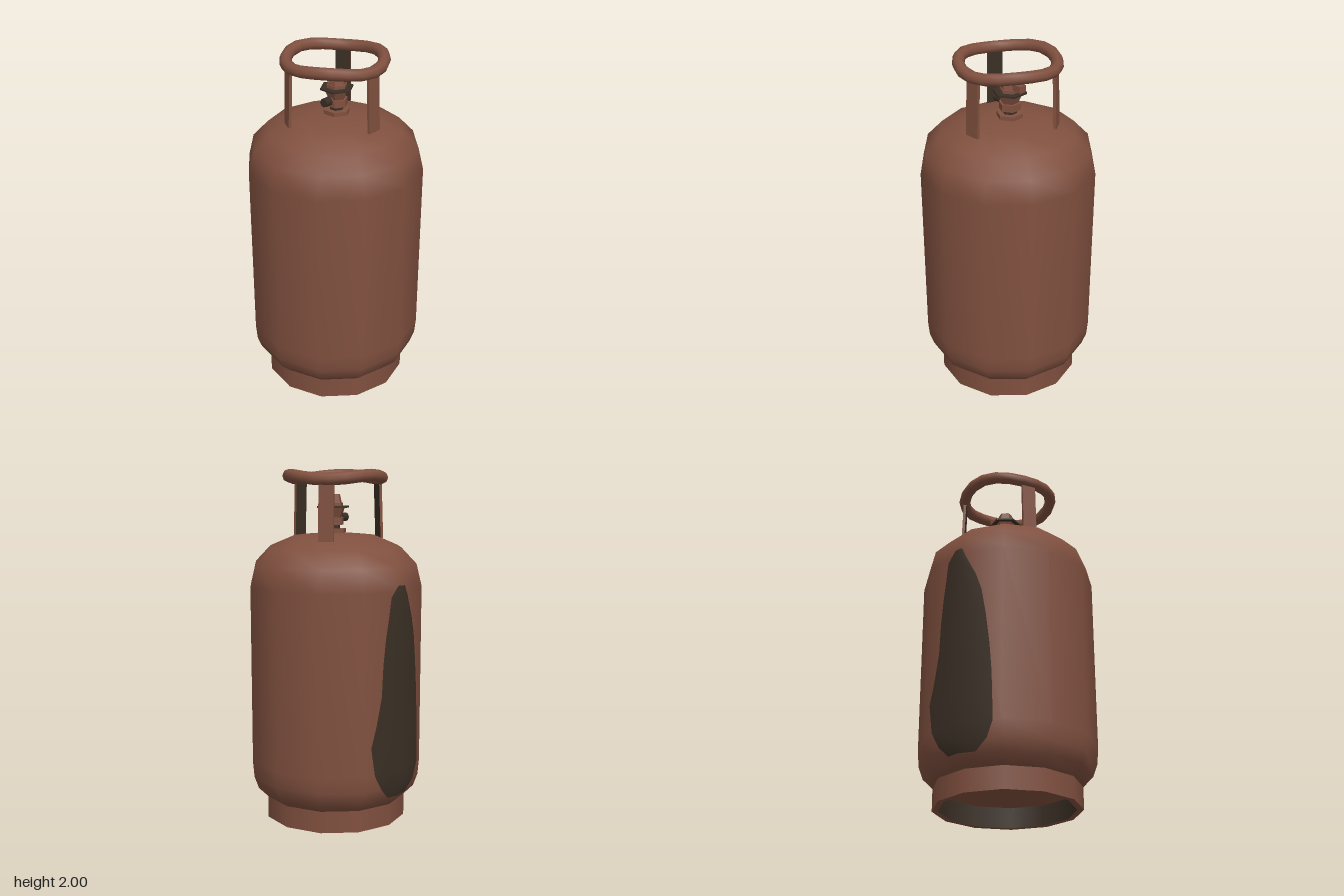
import * as THREE from 'three';

const SIDES = 12;
// Tank outline, bottom centre to top centre: [radius, height]
const TANK = [[0, 0.08], [0.3, 0.1], [0.41, 0.125], [0.465, 0.18], [0.49, 0.25], [0.498, 0.34],
  [0.498, 1.35], [0.468, 1.475], [0.38, 1.567], [0.235, 1.628], [0.1, 1.64], [0, 1.642]];

function material(name, color) {
  const m = new THREE.MeshStandardMaterial({ color });
  m.name = name;
  return m;
}

function lathe(points, sides = SIDES) {
  return new THREE.LatheGeometry(points.map(([r, y]) => new THREE.Vector2(r, y)), sides);
}

function tankRadius(y) {
  for (let i = 3; i < TANK.length; i++) {
    const [r0, y0] = TANK[i - 1], [r1, y1] = TANK[i];
    if (y <= y1) return r0 + (r1 - r0) * (y - y0) / (y1 - y0);
  }
  return 0;
}

// Bare patch lying on the facets of the tank; rows are [height, start angle, end angle]
function patchGeometry() {
  const rows = [[0.19, -9, 12], [0.25, -16, 20], [0.34, -22, 24], [0.5, -25, 23.5], [0.62, -21, 23],
    [0.78, -17, 21.5], [0.95, -16, 19], [1.1, -14, 16], [1.2, -12, 12], [1.32, -10, 5], [1.38, -4, 2]];
  const pos = [], index = [];
  rows.forEach(([y, a, b], i) => {
    for (const deg of [a, 0, b]) {
      const t = THREE.MathUtils.degToRad(deg), half = Math.PI / SIDES;
      const r = tankRadius(y) * Math.cos(half) / Math.cos(Math.abs(t) - half) + 0.004;
      pos.push(-r * Math.cos(t), y, r * Math.sin(t));
    }
    if (i === 0) return;
    for (let j = 0; j < 2; j++) {
      const p = (i - 1) * 3 + j, q = i * 3 + j;
      index.push(p, p + 1, q, p + 1, q + 1, q);
    }
  });
  const g = new THREE.BufferGeometry();
  g.setAttribute('position', new THREE.Float32BufferAttribute(pos, 3));
  g.setIndex(index);
  g.computeVertexNormals();
  return g;
}

export function createModel() {
  const group = new THREE.Group();
  group.name = 'gasCylinder';
  const paint = material('rust brown paint', 0x80503f);
  const dark = material('dark grime', 0x3a2f25);
  dark.side = THREE.DoubleSide;

  function add(name, geometry, mat, x = 0, y = 0, z = 0, parent = group) {
    const mesh = new THREE.Mesh(geometry, mat);
    mesh.name = name;
    mesh.position.set(x, y, z);
    parent.add(mesh);
    return mesh;
  }

  // Tank and worn patch
  add('tank', lathe(TANK), paint);
  add('wornPatch', patchGeometry(), dark);

  // Foot ring
  add('footOuterWall', lathe([[0.41, 0], [0.41, 0.128]]), paint);
  add('footRim', lathe([[0.375, 0], [0.41, 0]]), paint);
  add('footInnerWall', lathe([[0.375, 0.12], [0.375, 0]]), dark);

  // Handle posts, grimy on the inner face
  for (let i = 0; i < 3; i++) {
    const a = i * Math.PI * 2 / 3;
    const pivot = new THREE.Group();
    pivot.name = 'handlePost';
    pivot.rotation.y = a;
    group.add(pivot);
    const post = add('postPlate', new THREE.BoxGeometry(0.016, 0.34, 0.085),
      [paint, dark, paint, paint, paint, paint], 0.265, 1.78, -0.005, pivot);
    post.rotation.z = 0.035;
  }

  // Handle ring, dipping slightly over each post
  const path = [];
  for (let i = 0; i < 18; i++) {
    const a = i * Math.PI * 2 / 18;
    path.push(new THREE.Vector3(0.266 * Math.cos(a), 1.956 - 0.011 * Math.cos(3 * a), 0.264 * Math.sin(a)));
  }
  const ringCurve = new THREE.CatmullRomCurve3(path, true);
  add('handleRing', new THREE.TubeGeometry(ringCurve, 20, 0.034, 8, true), paint);

  // Valve
  const valve = new THREE.Group();
  valve.name = 'valve';
  valve.position.z = -0.015;
  group.add(valve);
  const hex = (top, bottom, h) => new THREE.CylinderGeometry(top, bottom, h, 6).toNonIndexed();
  const part = (name, top, bottom, y0, y1, mat) => {
    const g = hex(top, bottom, y1 - y0);
    g.computeVertexNormals();
    g.rotateY(Math.PI / 6);
    return add(name, g, mat, 0, (y0 + y1) / 2, 0, valve);
  };
  part('valveFlange', 0.075, 0.075, 1.645, 1.668, paint);
  part('valveNeck', 0.04, 0.04, 1.66, 1.7, dark);
  part('valveCollar', 0.062, 0.062, 1.69, 1.73, paint);
  part('valveBody', 0.07, 0.045, 1.725, 1.785, paint);
  part('valvePlate', 0.095, 0.095, 1.785, 1.795, dark);
  part('valveNut', 0.058, 0.058, 1.795, 1.812, paint);
  part('valveCap', 0.04, 0.052, 1.81, 1.86, paint);
  add('outletStub', new THREE.BoxGeometry(0.044, 0.038, 0.075), paint, 0, 1.83, -0.06, valve);
  const knob = add('safetyKnob', new THREE.CylinderGeometry(0.025, 0.025, 0.045, 8), dark, 0, 1.73, 0.085, valve);
  knob.rotation.x = Math.PI / 2;
  const stem = add('safetyStem', new THREE.CylinderGeometry(0.014, 0.014, 0.09, 8), paint, 0, 1.73, 0.045, valve);
  stem.rotation.x = Math.PI / 2;

  return group;
}
